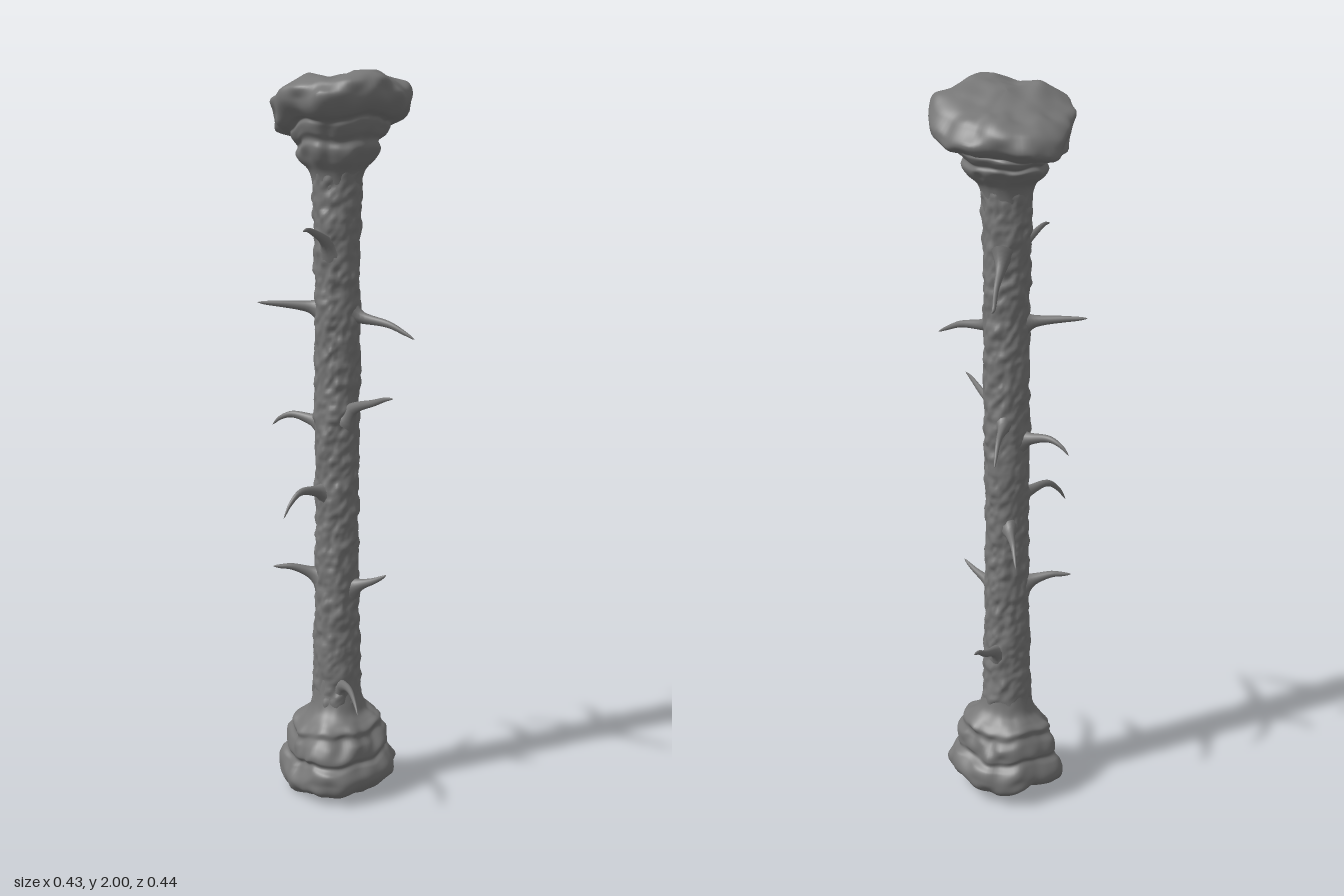
import * as THREE from 'three';

const CX = -0.013, CZ = -0.025, SHAFT_R = 0.06;
const material = new THREE.MeshStandardMaterial({ color: 0x777777 });

// Smooth 3D value noise in -1..1
function hash(x, y, z) {
  const s = Math.sin(x * 127.1 + y * 311.7 + z * 74.7) * 43758.5453;
  return (s - Math.floor(s)) * 2 - 1;
}
function noise(x, y, z) {
  const ix = Math.floor(x), iy = Math.floor(y), iz = Math.floor(z);
  const ease = t => t * t * (3 - 2 * t);
  const u = ease(x - ix), v = ease(y - iy), w = ease(z - iz);
  const mix = THREE.MathUtils.lerp;
  const edge = (b, c) => mix(hash(ix, iy + b, iz + c), hash(ix + 1, iy + b, iz + c), u);
  return mix(mix(edge(0, 0), edge(1, 0), v), mix(edge(0, 1), edge(1, 1), v), w);
}

// Indexed surface from rings of points; the seam is shared so normals stay smooth
function loft(name, rows, cols, point) {
  const pos = [], idx = [];
  for (let i = 0; i <= rows; i++) {
    for (let j = 0; j < cols; j++) {
      const p = point(i / rows, (j / cols) * Math.PI * 2);
      pos.push(p.x, p.y, p.z);
      if (i === rows) continue;
      const a = i * cols + j, b = i * cols + (j + 1) % cols;
      idx.push(a, a + cols, b, b, a + cols, b + cols);
    }
  }
  const geo = new THREE.BufferGeometry();
  geo.setAttribute('position', new THREE.Float32BufferAttribute(pos, 3));
  geo.setIndex(idx);
  geo.computeVertexNormals();
  const mesh = new THREE.Mesh(geo, material);
  mesh.name = name;
  return mesh;
}

// Periodic radius multiplier, samples run from +x towards +z
function outline(samples, angle) {
  const n = samples.length, t = (angle / (Math.PI * 2)) * n, i = Math.floor(t) % n;
  return THREE.MathUtils.lerp(samples[i], samples[(i + 1) % n], THREE.MathUtils.smoothstep(t % 1, 0, 1));
}

// Rocky end piece: a [radius, y] profile, an irregular outline, a tilt and lumps
function rock(name, profile, shape, tilt, seed) {
  const curve = new THREE.CatmullRomCurve3(
    profile.map(([r, y]) => new THREE.Vector3(r, y, 0)), false, 'centripetal');
  return loft(name, 90, 96, (t, a) => {
    const p = curve.getPoint(t), r = Math.max(p.x, 0);
    const dx = Math.cos(a), dz = Math.sin(a);
    const wide = THREE.MathUtils.smoothstep(r, 0.065, 0.13);
    const lump = noise(dx * 1.9 + seed, p.y * 16, dz * 1.9) * 0.06
      + noise(dx * 4 + seed, p.y * 30, dz * 4 + 7) * 0.05;
    const rr = r * (THREE.MathUtils.lerp(1, outline(shape, a), wide) + lump * (0.3 + wide));
    const x = dx * rr, z = dz * rr;
    const amount = tilt.blend(p.y);
    // wavy layers, then the tilt and broad dents
    const y = p.y + noise(dx * 1.7 + seed, 2, dz * 1.7) * 0.013 * wide
      + (x * tilt.x + z * tilt.z) * amount
      + (noise(x * 13 + seed, 3, z * 13) * 0.014 + noise(x * 32, 9, z * 32 + seed) * 0.003) * amount;
    return new THREE.Vector3(CX + x, THREE.MathUtils.clamp(y, 0, 2), CZ + z);
  });
}

// Hooked thorn from the shaft to a tip, bending through a middle height
function thorn([tipX, tipY, tipZ, rootY, midY, sag = 0]) {
  const dir = new THREE.Vector3(tipX - CX, 0, tipZ - CZ);
  const reach = dir.length();
  dir.normalize();
  const at = (r, y) => new THREE.Vector3(CX + dir.x * r, y, CZ + dir.z * r);
  const path = new THREE.CatmullRomCurve3([
    at(0.04, rootY),
    at(0.075, THREE.MathUtils.lerp(rootY, midY, 0.5)),
    at(THREE.MathUtils.lerp(0.06, reach, 0.55), midY),
    at(THREE.MathUtils.lerp(0.06, reach, 0.82), THREE.MathUtils.lerp(midY, tipY, 0.55) - sag),
    at(reach, tipY),
  ]);
  const side = new THREE.Vector3(-dir.z, 0, dir.x);
  return loft('thorn', 20, 10, (t, a) => {
    const p = path.getPoint(t), up = new THREE.Vector3().crossVectors(path.getTangent(t), side).normalize();
    const r = 0.0135 * Math.pow(1 - t, 0.6) + 0.03 * Math.pow(1 - t, 6);
    return p.addScaledVector(side, Math.cos(a) * r * 0.8).addScaledVector(up, -Math.sin(a) * r);
  });
}

export function createModel() {
  const group = new THREE.Group();
  group.name = 'thornyColumn';

  // Pitted shaft, slightly flared at both ends
  group.add(loft('shaft', 260, 64, (t, a) => {
    const y = 0.17 + t * 1.65, dx = Math.cos(a), dz = Math.sin(a);
    const flare = 0.017 * Math.pow(Math.abs(t * 2 - 1), 5);
    const pits = noise(dx * 3.2, y * 42, dz * 3.2 + 5) * 0.005 + noise(dx * 6, y * 70, dz * 6) * 0.003;
    const swell = noise(dx, y * 5, dz) * 0.003;
    const r = SHAFT_R + flare + pits + swell;
    return new THREE.Vector3(CX + dx * r, y, CZ + dz * r);
  }));

  // Layered rock foot
  group.add(rock('base', [
    [0, 0.012], [0.07, 0.013], [0.125, 0.022], [0.152, 0.045], [0.156, 0.075], [0.146, 0.1],
    [0.132, 0.115], [0.136, 0.13], [0.132, 0.16], [0.12, 0.18], [0.121, 0.197],
    [0.103, 0.215], [0.082, 0.238], [0.071, 0.27], [0.06, 0.34],
  ], [1, 0.97, 1.02, 1.05, 0.97, 1, 1.04, 0.96, 1.03, 1, 0.95, 1.02],
  { x: 0.06, z: -0.05, blend: () => 1 }, 4.3));

  // Wide, tilted rock head
  group.add(rock('capital', [
    [0.06, 1.66], [0.073, 1.735], [0.097, 1.765], [0.11, 1.79], [0.106, 1.808], [0.12, 1.822],
    [0.13, 1.84], [0.132, 1.85], [0.158, 1.86], [0.178, 1.88], [0.184, 1.91], [0.176, 1.935],
    [0.142, 1.954], [0.08, 1.965], [0, 1.968],
  ], [1.04, 1.0, 0.98, 0.95, 0.91, 0.96, 0.96, 1.08, 0.99, 0.96, 0.98, 1.08],
  { x: 0.17, z: 0.25, blend: y => THREE.MathUtils.smoothstep(y, 1.74, 1.9) }, 11.7));

  // Thorns: tip x, y, z, root height, middle height, sag near the tip
  [
    [-0.042, 1.595, 0.175, 1.53, 1.585, -0.006],
    [-0.055, 1.44, -0.195, 1.56, 1.49, 0.02],
    [-0.215, 1.385, 0.045, 1.365, 1.38],
    [0.215, 1.3, 0.016, 1.36, 1.335],
    [0.187, 1.16, 0.12, 1.075, 1.135, -0.004],
    [-0.207, 1.03, -0.047, 1.045, 1.065, -0.006],
    [-0.075, 1.03, -0.222, 1.1, 1.083],
    [-0.107, 0.82, 0.153, 0.865, 0.882, -0.008],
    [-0.12, 0.74, -0.187, 0.8, 0.783],
    [-0.178, 0.65, 0.04, 0.615, 0.648],
    [0.14, 0.645, 0.015, 0.59, 0.62],
    [-0.01, 0.48, -0.218, 0.42, 0.458, -0.006],
    [0.122, 0.31, 0.22, 0.3, 0.345, -0.006],
  ].forEach(spec => group.add(thorn(spec)));

  return group;
}
